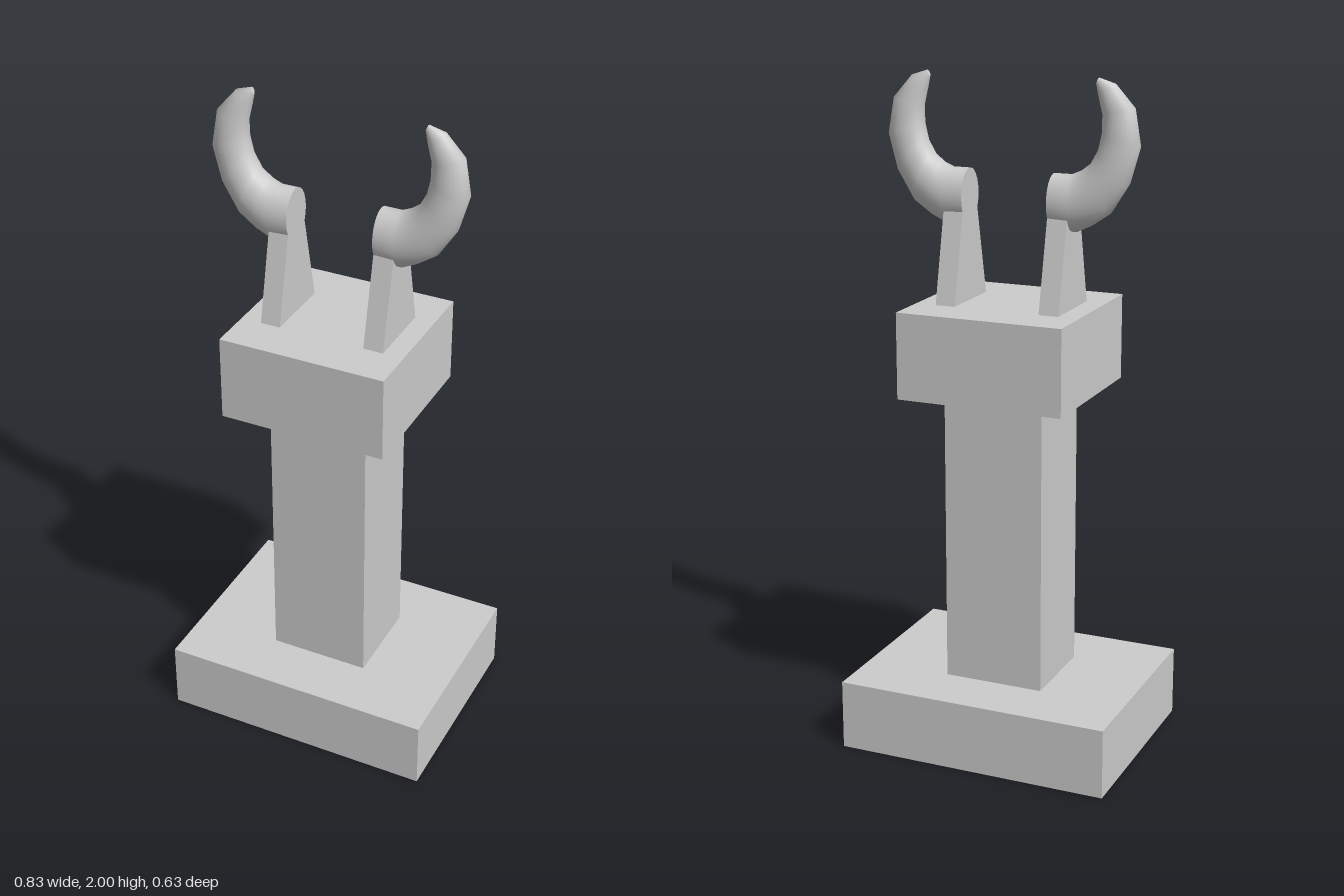
import * as THREE from 'three';

const grey = new THREE.MeshStandardMaterial({ color: 0xcccccc });

function addMesh(parent, name, geometry) {
  const mesh = new THREE.Mesh(geometry, grey);
  mesh.name = name;
  parent.add(mesh);
  return mesh;
}

// Box given by its width, depth and the heights of its bottom and top
function addBlock(parent, name, width, depth, bottom, top) {
  const mesh = addMesh(parent, name, new THREE.BoxGeometry(width, top - bottom, depth));
  mesh.position.y = (bottom + top) / 2;
}

// Tapered upright plate, 0.06 thick along x
function postGeometry() {
  const shape = new THREE.Shape([
    new THREE.Vector2(-0.11, 1.345), new THREE.Vector2(0.11, 1.345),
    new THREE.Vector2(0.035, 1.68), new THREE.Vector2(-0.035, 1.68),
  ]);
  const geometry = new THREE.ExtrudeGeometry(shape, { depth: 0.06, bevelEnabled: false });
  geometry.rotateY(Math.PI / 2);
  return geometry.translate(0.13, 0, 0);
}

// Horn cross-sections: inner x, y, outer x, y, half width in z, centre z
const hornSections = [
  [0.13, 1.73, 0.13, 1.572, 0.06, 0],
  [0.185, 1.73, 0.2, 1.567, 0.06, 0],
  [0.213, 1.742, 0.245, 1.588, 0.059, 0],
  [0.243, 1.765, 0.3, 1.625, 0.056, 0.001],
  [0.265, 1.805, 0.355, 1.71, 0.05, 0.003],
  [0.275, 1.85, 0.386, 1.815, 0.044, 0.005],
  [0.276, 1.9, 0.369, 1.92, 0.037, 0.006],
  [0.264, 1.95, 0.312, 1.985, 0.025, 0.008],
  [0.256, 1.982, 0.264, 2.0, 0.007, 0.008],
];

function hornGeometry(sides = 24) {
  const points = [];
  const index = [];
  const addRing = ([ix, iy, ox, oy, halfZ, z]) => {
    for (let j = 0; j < sides; j++) {
      const a = (j / sides) * Math.PI * 2;
      const c = Math.cos(a) / 2;
      points.push((ix + ox) / 2 + (ox - ix) * c, (iy + oy) / 2 + (oy - iy) * c, z + halfZ * Math.sin(a));
    }
  };
  hornSections.forEach(addRing);
  // Curved skin
  for (let i = 0; i < hornSections.length - 1; i++) {
    for (let j = 0; j < sides; j++) {
      const k = (j + 1) % sides;
      const a = i * sides + j, b = i * sides + k;
      index.push(a, a + sides, b, b, a + sides, b + sides);
    }
  }
  // Flat caps at root and tip, with their own rings for sharp edges
  const last = hornSections.length - 1;
  [0, last].forEach((section) => {
    const start = points.length / 3;
    addRing(hornSections[section]);
    for (let j = 1; j < sides - 1; j++) {
      if (section === 0) index.push(start, start + j, start + j + 1);
      else index.push(start, start + j + 1, start + j);
    }
  });
  const geometry = new THREE.BufferGeometry();
  geometry.setAttribute('position', new THREE.Float32BufferAttribute(points, 3));
  geometry.setIndex(index);
  geometry.computeVertexNormals();
  return geometry;
}

export function createModel() {
  const model = new THREE.Group();
  model.name = 'hornedPillar';

  // Pillar
  addBlock(model, 'base', 0.834, 0.63, 0, 0.21);
  addBlock(model, 'column', 0.304, 0.274, 0.21, 1.09);
  addBlock(model, 'capital', 0.504, 0.482, 1.09, 1.345);

  // Two posts with horns, the second turned half way round
  const post = postGeometry();
  const horn = hornGeometry();
  ['left', 'right'].forEach((side, i) => {
    const holder = new THREE.Group();
    holder.name = side + 'Holder';
    addMesh(holder, side + 'Post', post);
    addMesh(holder, side + 'Horn', horn);
    holder.rotation.y = i * Math.PI;
    model.add(holder);
  });

  return model;
}
